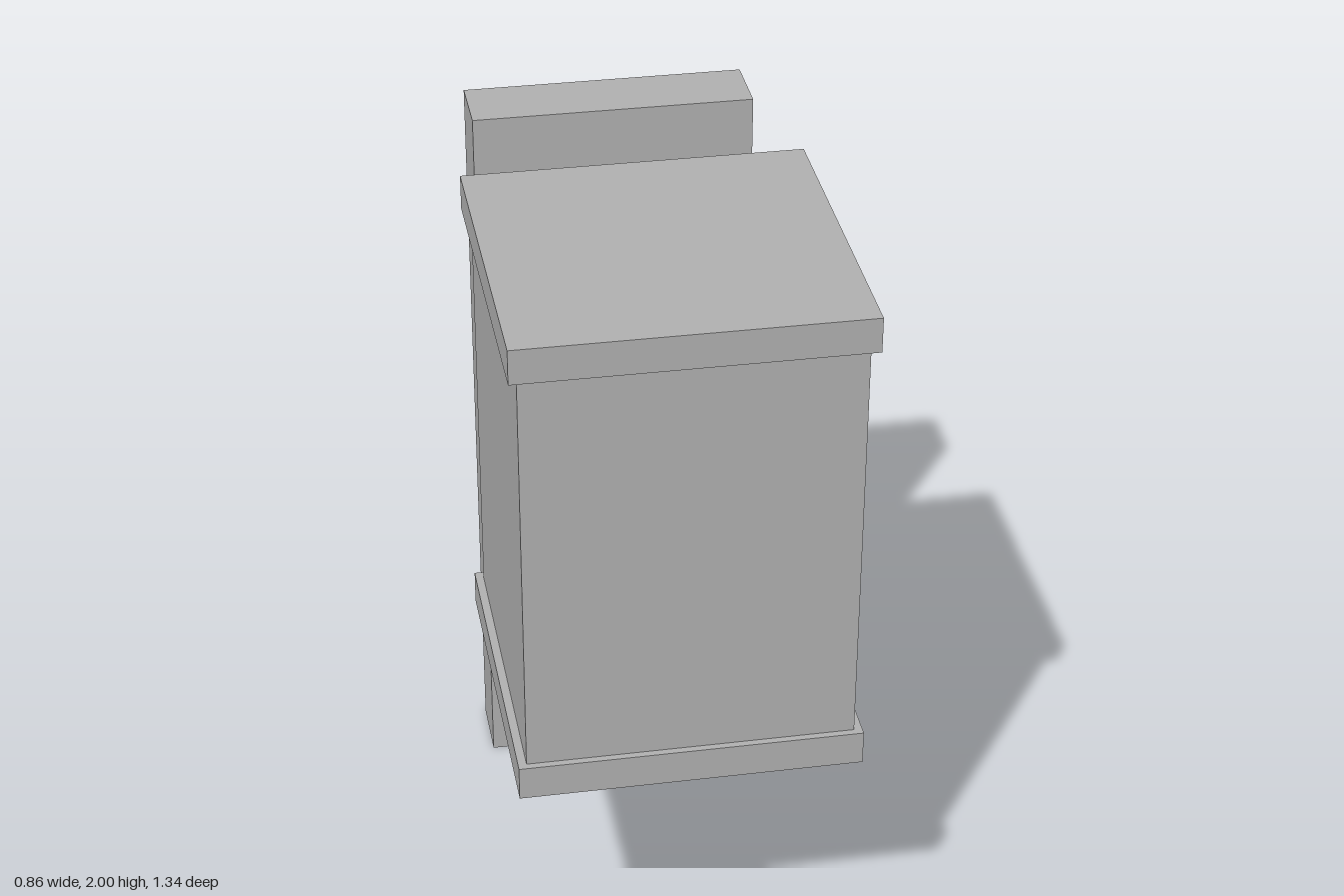
import * as THREE from 'three';

export function createModel() {
  const model = new THREE.Group();
  model.name = 'wallLantern';
  const grey = new THREE.MeshStandardMaterial({ color: 0xb2b2b2 });
  grey.name = 'grey';

  // Box symmetric in x, given its half width and its y and z ranges
  const addBox = (name, halfWidth, y0, y1, z0, z1) => {
    const mesh = new THREE.Mesh(new THREE.BoxGeometry(halfWidth * 2, y1 - y0, z1 - z0), grey);
    mesh.position.set(0, (y0 + y1) / 2, (z0 + z1) / 2);
    mesh.name = name;
    model.add(mesh);
  };

  // Wall plate and the arm that carries the lantern
  addBox('wallPlate', 0.363, 0, 2, -0.67, -0.49);
  addBox('supportArm', 0.136, 0.593, 0.863, -0.49, 0.24);

  // Lantern body between two slightly wider caps
  addBox('lanternBody', 0.41, 0.82, 1.91, -0.167, 0.652);
  addBox('bottomCap', 0.431, 0.73, 0.82, -0.192, 0.67);
  addBox('topCap', 0.431, 1.91, 2, -0.192, 0.67);

  return model;
}
